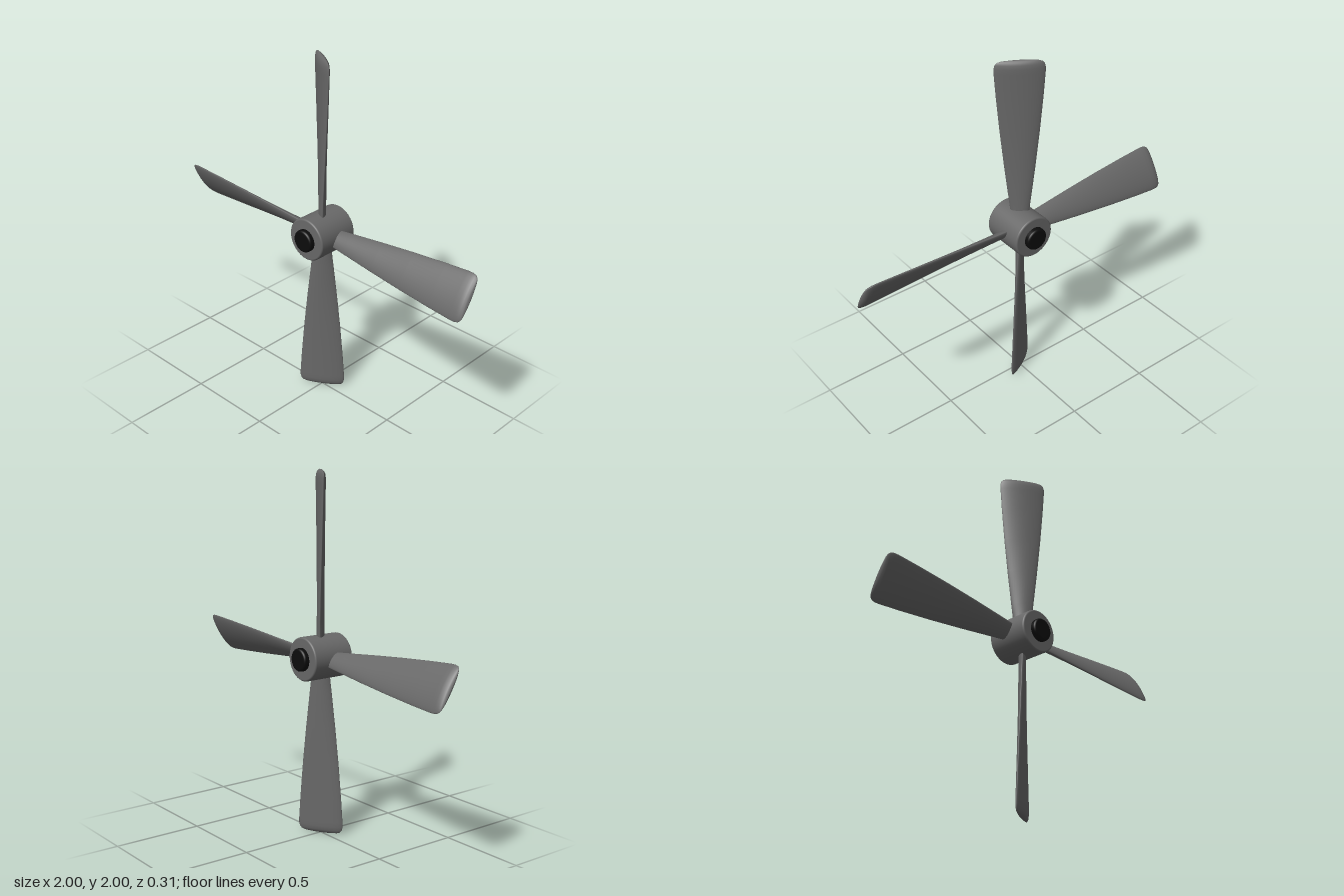
import * as THREE from 'three';

const grey = new THREE.MeshStandardMaterial({ color: 0x686868 });
const black = new THREE.MeshStandardMaterial({ color: 0x0c0c0c });

// Blade stations: [radius, half chord, half thickness, pitch in degrees]
const stations = [
  [0.06, 0.048, 0.021, 46],
  [0.12, 0.052, 0.021, 44],
  [0.2, 0.061, 0.021, 42],
  [0.4, 0.083, 0.021, 37.5],
  [0.6, 0.103, 0.022, 34.5],
  [0.8, 0.12, 0.023, 32.5],
  [0.93, 0.129, 0.024, 31.5],
  [0.958, 0.129, 0.024, 31.5],
  [0.978, 0.124, 0.021, 31.5],
  [0.99, 0.113, 0.015, 31.5],
  [0.996, 0.095, 0.009, 31.5],
  [1.0, 0.05, 0.003, 31.5],
  [1.0, 0, 0, 31.5],
];

// Twisted blade lofted along +y through lens-shaped sections
function bladeGeometry() {
  const sides = 32;
  const positions = [];
  const index = [];
  stations.forEach(([r, chord, thick, pitch], i) => {
    const p = THREE.MathUtils.degToRad(pitch);
    for (let j = 0; j < sides; j++) {
      const a = (j / sides) * Math.PI * 2;
      const s = Math.sin(a);
      const u = chord * Math.cos(a);
      const v = thick * s * Math.abs(s) ** 0.4;
      positions.push(u * Math.cos(p) - v * Math.sin(p), r, u * Math.sin(p) + v * Math.cos(p));
      if (i === stations.length - 1) continue;
      const k = (j + 1) % sides;
      const [a0, a1, b0, b1] = [i * sides + j, i * sides + k, (i + 1) * sides + j, (i + 1) * sides + k];
      index.push(a0, b0, a1, a1, b0, b1);
    }
  });
  const geo = new THREE.BufferGeometry();
  geo.setAttribute('position', new THREE.Float32BufferAttribute(positions, 3));
  geo.setIndex(index);
  geo.computeVertexNormals();
  return geo;
}

// Solid cylinder along z with softly rounded rims
function roundedDrum(radius, half, bevel) {
  const profile = [new THREE.Vector2(0, -half)];
  for (const end of [-1, 1]) {
    for (let i = 0; i <= 4; i++) {
      const t = ((end < 0 ? i : 4 - i) / 4) * (Math.PI / 2);
      profile.push(new THREE.Vector2(
        radius - bevel + bevel * Math.sin(t),
        end * (half - bevel + bevel * Math.cos(t)),
      ));
    }
  }
  profile.push(new THREE.Vector2(0, half));
  return new THREE.LatheGeometry(profile, 48).rotateX(Math.PI / 2);
}

export function createModel() {
  const model = new THREE.Group();
  model.name = 'propeller';

  const add = (name, geometry, material) => {
    const mesh = new THREE.Mesh(geometry, material);
    mesh.name = name;
    mesh.position.y = 1;
    model.add(mesh);
    return mesh;
  };

  // Hub, and the shaft showing at both ends
  add('hub', roundedDrum(0.12, 0.125, 0.01), grey);
  add('shaft', roundedDrum(0.063, 0.155, 0.012), black);

  // Four equal blades around the hub
  const blade = bladeGeometry();
  for (let i = 0; i < 4; i++) {
    add(`blade${i + 1}`, blade, grey).rotation.z = (i * Math.PI) / 2;
  }
  return model;
}
